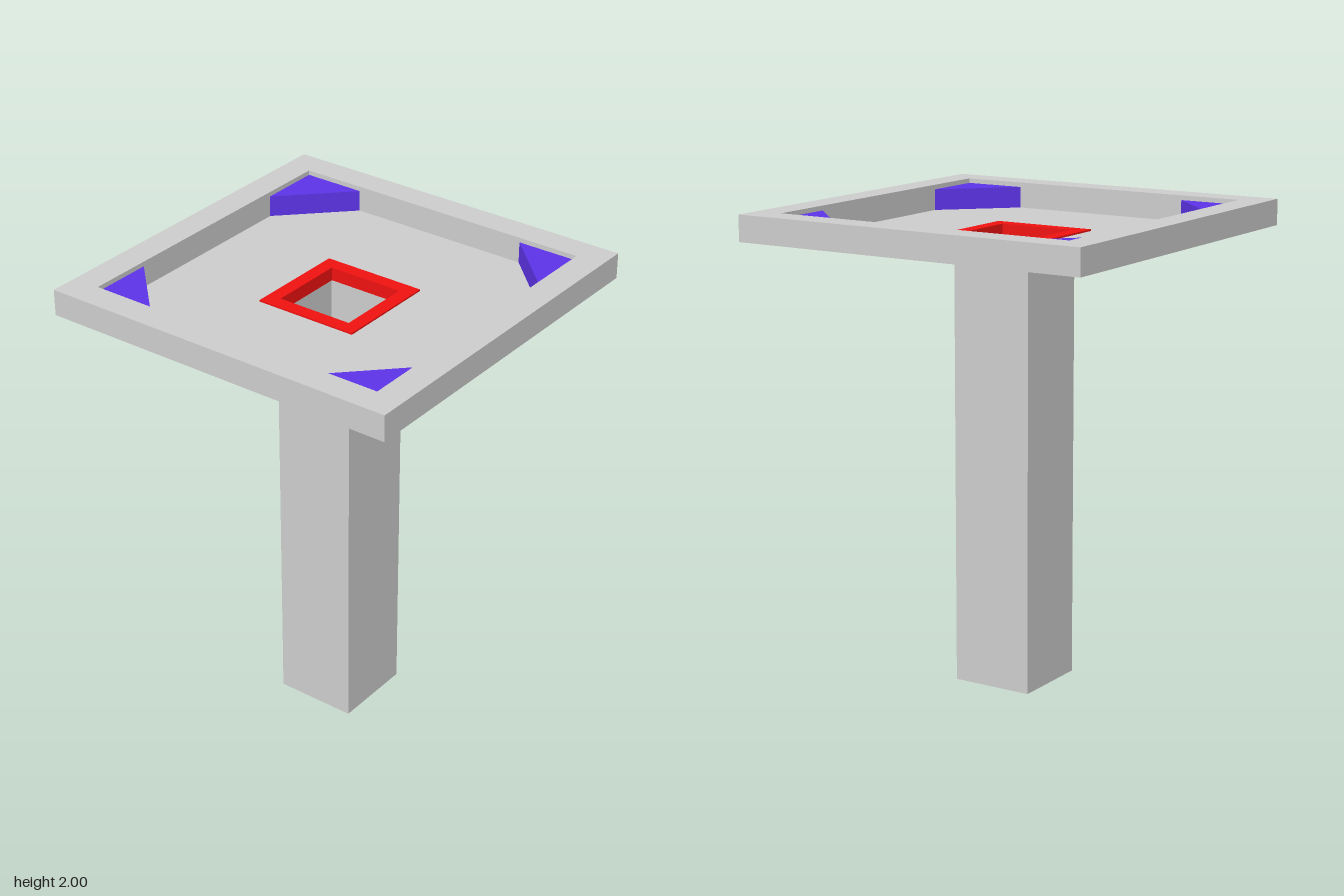
import * as THREE from 'three';

const material = (color) => new THREE.MeshStandardMaterial({ color, side: THREE.DoubleSide, flatShading: true });

// Square shell swept around y from a profile of [half width, height]
function squareShell(name, profile, mat) {
  const points = profile.map(([half, y]) => new THREE.Vector2(half * Math.SQRT2, y));
  const geometry = new THREE.LatheGeometry(points, 4, Math.PI / 4).toNonIndexed();
  geometry.computeVertexNormals();
  const mesh = new THREE.Mesh(geometry, mat);
  mesh.name = name;
  return mesh;
}

export function createModel() {
  const model = new THREE.Group();
  model.name = 'pedestalTray';
  const grey = material(0xcccccc);
  const red = material(0xee1210);
  const purple = material(0x5c33e6);

  // Hollow post, closed at the bottom and open at the top
  model.add(squareShell('post', [[0, 0], [0.177, 0], [0.177, 1.84]], grey));

  // Tray with a folded rim, open underneath, and a floor around the collar
  model.add(squareShell('tray', [[0.79, 1.89], [0.79, 2], [0.67, 2], [0.67, 1.89], [0.2, 1.89]], grey));

  // Collar joining the post to the tray
  model.add(squareShell('collar',
    [[0.167, 1.84], [0.226, 1.84], [0.226, 1.897], [0.167, 1.897], [0.167, 1.84]], red));

  // Triangular corner blocks
  const out = 0.671, inn = 0.4;
  const triangle = new THREE.Shape([
    new THREE.Vector2(out, out), new THREE.Vector2(inn, out), new THREE.Vector2(out, inn),
  ]);
  const block = new THREE.ExtrudeGeometry(triangle, { depth: 0.095, bevelEnabled: false });
  block.rotateX(Math.PI / 2).translate(0, 1.98, 0);
  for (let i = 0; i < 4; i++) {
    const mesh = new THREE.Mesh(block, purple);
    mesh.name = `cornerBlock${i + 1}`;
    mesh.rotation.y = i * Math.PI / 2;
    model.add(mesh);
  }
  return model;
}
